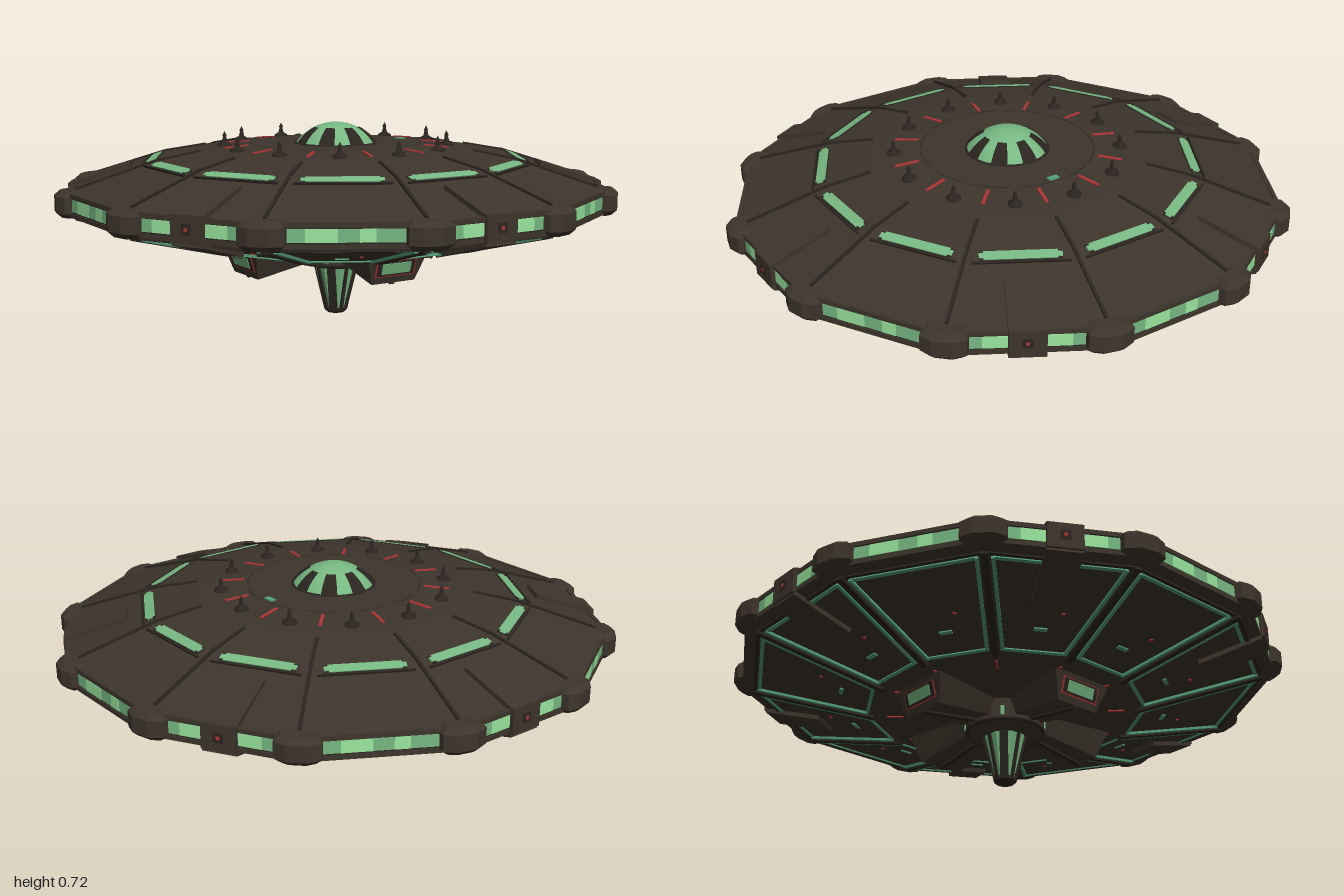
import * as THREE from 'three';

const mat = (name, color) => Object.assign(new THREE.MeshStandardMaterial({ color }), { name });
const HULL = mat('hull brown', 0x3d352c);
const TRIM = mat('dark trim', 0x2b2520);
const GREEN = mat('green glass', 0x77b882);
const BRIGHT = mat('bright green light', 0x9ae69e);
const DIM = mat('dim green light', 0x55a078);
const RED = mat('red light', 0xb03535);

const STEP = Math.PI / 6;                 // twelve sides
const V = 1 / Math.cos(STEP / 2);         // apothem to corner radius
const TAN = Math.tan(STEP / 2);
// hull profile as [apothem, height], bottom to top
const PROFILE = [[0, 0.275], [0.47, 0.28], [0.956, 0.412], [0.956, 0.488], [0.64, 0.592], [0.48, 0.622], [0.31, 0.637], [0, 0.64]];

function flat(geo) {
  const g = geo.index ? geo.toNonIndexed() : geo;
  g.computeVertexNormals();
  return g;
}

// height of the hull surface at an apothem
function heightAt(a, top) {
  const pts = top ? PROFILE.slice(3) : PROFILE.slice(0, 3);
  for (let i = 0; i < pts.length - 1; i++) {
    const [a0, y0] = pts[i], [a1, y1] = pts[i + 1];
    if ((a - a0) * (a - a1) <= 0) return y0 + (y1 - y0) * (a - a0) / (a1 - a0);
  }
  return pts[0][1];
}

export function createModel() {
  const model = new THREE.Group();
  model.name = 'saucer';

  const add = (name, geo, material, parent = model) => {
    const m = new THREE.Mesh(geo, material);
    m.name = name;
    parent.add(m);
    return m;
  };
  // a group turned about the vertical axis; its local +z points outwards
  const spoke = (name, angle) => {
    const g = new THREE.Group();
    g.name = name;
    g.rotation.y = angle;
    model.add(g);
    return g;
  };
  // box running outwards from [r, y] to [r, y]
  const bar = (parent, name, material, [r0, y0], [r1, y1], width, height, x = 0) => {
    const m = add(name, new THREE.BoxGeometry(width, height, Math.hypot(r1 - r0, y1 - y0)), material, parent);
    m.position.set(x, (y0 + y1) / 2, (r0 + r1) / 2);
    m.rotation.x = Math.atan2(y0 - y1, r1 - r0);
    return m;
  };
  // bar lying on the hull between two apothems; s converts apothem to radius
  const onHull = (parent, name, material, a0, a1, width, height, top = true, s = 1, x = 0) =>
    bar(parent, name, material, [a0 * s, heightAt(a0, top)], [a1 * s, heightAt(a1, top)], width, height, x);
  const block = (parent, name, material, w, h, d, x, y, z, tilt = 0) => {
    const m = add(name, new THREE.BoxGeometry(w, h, d), material, parent);
    m.position.set(x, y, z);
    m.rotation.x = tilt;
    return m;
  };

  // hull
  const hullPoints = PROFILE.map(([a, y]) => new THREE.Vector2(a * V, y));
  add('hull', flat(new THREE.LatheGeometry(hullPoints, 12, STEP / 2)), HULL);

  // chamfered corner bracket and antenna profile, shared by all copies
  const outline = [[-0.075, 0.92], [0.075, 0.92], [0.075, 1.0], [0.033, 1.025], [-0.033, 1.025], [-0.075, 1.0]];
  const bracket = new THREE.ExtrudeGeometry(new THREE.Shape(outline.map(p => new THREE.Vector2(...p))),
    { depth: 0.056, bevelThickness: 0.018, bevelSize: 0.02, bevelOffset: -0.02, bevelSegments: 1 });
  bracket.rotateX(Math.PI / 2).translate(0, 0.481, 0);
  const antenna = new THREE.LatheGeometry([[0.026, 0], [0.026, 0.008], [0.01, 0.018], [0.006, 0.035], [0.008, 0.04], [0, 0.056]]
    .map(p => new THREE.Vector2(...p)), 10);

  for (let i = 0; i < 12; i++) {
    // flat sides
    const side = spoke('side', i * STEP);
    const clamped = i % 2 === 0;
    block(side, 'rimRecess', TRIM, 0.4, 0.062, 0.006, 0, 0.453, 0.956);
    block(side, 'rimWindow', GREEN, 0.38, 0.042, 0.006, 0, 0.454, 0.958);
    for (const [x, w] of clamped ? [[-0.1, 0.08], [0.1, 0.08]] : [[-0.075, 0.1], [0.065, 0.05]])
      block(side, 'rimLight', BRIGHT, w, 0.042, 0.006, x, 0.454, 0.9595);
    for (const y of [0.42, 0.486]) block(side, 'rimRail', HULL, 0.5, 0.016, 0.014, 0, y, 0.957);

    // upper lights with a dark lip
    onHull(side, 'upperLightBed', TRIM, 0.65, 0.688, 0.27, 0.008);
    onHull(side, 'upperLight', GREEN, 0.651, 0.685, 0.24, 0.014);
    for (const x of [-0.122, 0.122]) onHull(side, 'upperLightEnd', GREEN, 0.658, 0.678, 0.026, 0.0135, true, 1, x);
    onHull(side, 'upperLightLip', TRIM, 0.691, 0.698, 0.32, 0.014);

    // underside outlines and small lamps
    for (const a of [0.5, 0.9])
      onHull(side, 'lowerLine', DIM, a - 0.006, a + 0.006, 2 * a * TAN - 0.05, 0.01, false);
    onHull(side, 'lowerTrim', TRIM, 0.912, 0.922, 2 * 0.9 * TAN - 0.02, 0.012, false);
    onHull(side, 'lowerDash', DIM, 0.6, 0.614, 0.045, 0.01, false);
    onHull(side, 'lowerLamp', RED, 0.68, 0.69, 0.012, 0.008, false, 1, 0.06);

    // antennas on the upper deck
    add('antenna', antenna, TRIM, side).position.set(0, heightAt(0.41, true) - 0.002, 0.41);

    // clamps wrapping the rim on every second side
    if (clamped) {
      bar(side, 'clampTop', HULL, [0.75, 0.556], [0.968, 0.486], 0.12, 0.03);
      bar(side, 'clampBottom', HULL, [0.74, 0.348], [0.968, 0.412], 0.12, 0.025);
      block(side, 'clampFace', HULL, 0.12, 0.09, 0.03, 0, 0.454, 0.963);
      block(side, 'clampSocket', TRIM, 0.034, 0.034, 0.006, 0, 0.456, 0.977);
      block(side, 'clampLamp', RED, 0.012, 0.012, 0.006, 0, 0.456, 0.979);
    }

    // corners
    const corner = spoke('corner', (i + 0.5) * STEP);
    add('cornerBracket', bracket, HULL, corner);
    onHull(corner, 'upperRib', TRIM, 0.64, 0.92, 0.011, 0.014, true, V);
    onHull(corner, 'upperRib', TRIM, 0.49, 0.64, 0.011, 0.012, true, V);
    onHull(corner, 'deckStripe', RED, 0.32, 0.405, 0.011, 0.008, true, V);
    onHull(corner, 'lowerRib', TRIM, 0.47, 0.92, 0.024, 0.022, false, V);
    for (const x of [-0.026, 0.026])
      bar(corner, 'lowerRibLine', DIM, [0.51, heightAt(0.5, false)], [0.93, heightAt(0.905, false)], 0.012, 0.018, x);
    bar(corner, 'bellyStripe', RED, [0.38, 0.278], [0.44, 0.279], 0.008, 0.008);

    // broken seam around the centre of the deck
    const seam = add('deckSeam', new THREE.RingGeometry(0.311, 0.316, 4, 1, i * STEP + 0.05, STEP - 0.1).rotateX(-Math.PI / 2), TRIM);
    seam.position.y = 0.6405;
  }
  block(model, 'deckLamp', DIM, 0.022, 0.008, 0.04, 0.287, 0.638, 0);

  // dome with eight dark wedges rising from its edge
  const dome = new THREE.Group();
  dome.name = 'dome';
  dome.position.y = 0.535;
  model.add(dome);
  add('domeGlass', new THREE.SphereGeometry(0.18, 32, 8, 0, Math.PI * 2, 0, 0.97), GREEN, dome);
  for (let i = 0; i < 8; i++)
    add('domeWedge', new THREE.SphereGeometry(0.184, 4, 6, i * Math.PI / 4 - 0.2, 0.4, 0.48, 0.49), TRIM, dome);
  const collar = add('domeCollar', new THREE.TorusGeometry(0.149, 0.006, 6, 32).rotateX(Math.PI / 2), TRIM);
  collar.position.y = 0.637;

  // belly hub
  const hubPoints = [[0, 0.178], [0.085, 0.178], [0.13, 0.19], [0.145, 0.205], [0.145, 0.28]].map(p => new THREE.Vector2(...p));
  add('hub', flat(new THREE.LatheGeometry(hubPoints, 24)), HULL);
  const hubRing = add('hubRing', new THREE.TorusGeometry(0.14, 0.008, 6, 24).rotateX(Math.PI / 2), TRIM);
  hubRing.position.y = 0.2;

  // four arms, wider at the tip, each ending in a framed window
  const armSide = [[0.05, 0.28], [0.05, 0.215], [0.14, 0.215], [0.38, 0.178], [0.41, 0.28]].map(p => new THREE.Vector2(...p));
  const armGeo = new THREE.ExtrudeGeometry(new THREE.Shape(armSide), { depth: 0.25, bevelEnabled: false });
  armGeo.translate(0, 0, -0.125).rotateY(-Math.PI / 2);
  const p = armGeo.attributes.position;
  for (let i = 0; i < p.count; i++)
    p.setX(i, p.getX(i) * (0.5 + 0.5 * p.getZ(i) / 0.4) * (p.getY(i) < 0.25 ? 0.74 : 1));
  flat(armGeo);
  for (let i = 0; i < 4; i++) {
    const arm = spoke('arm', i * Math.PI / 2);
    add('armBody', armGeo, HULL, arm);
    [[0.166, 0.062, RED, 'windowFrame'], [0.154, 0.054, TRIM, 'windowSurround'], [0.12, 0.04, GREEN, 'armWindow']]
      .forEach(([w, h, m, name], k) => block(arm, name, m, w, h, 0.006, 0, 0.233, 0.395 + k * 0.0025, 0.286));
    bar(arm, 'armKeel', TRIM, [0.14, 0.213], [0.375, 0.177], 0.02, 0.012);
    // slim lamps on the hub between the arms
    const between = spoke('hubLampMount', (i + 0.5) * Math.PI / 2);
    block(between, 'hubLamp', GREEN, 0.014, 0.036, 0.008, 0, 0.228, 0.145);
  }

  // tapering spire below the hub
  add('spireGlass', flat(new THREE.CylinderGeometry(0.08, 0.036, 0.17, 8, 1, true, Math.PI / 8).translate(0, 0.1, 0)), GREEN);
  for (let i = 0; i < 8; i++) {
    const rib = spoke('spireRibMount', i * Math.PI / 4);
    bar(rib, 'spireRib', TRIM, [0.034, 0.012], [0.076, 0.185], i % 2 ? 0.03 : 0.011, 0.014);
  }
  const tipPoints = [[0, 0], [0.032, 0], [0.041, 0.008], [0.041, 0.02], [0, 0.02]].map(q => new THREE.Vector2(...q));
  add('spireTip', flat(new THREE.LatheGeometry(tipPoints, 16)), TRIM);
  return model;
}
